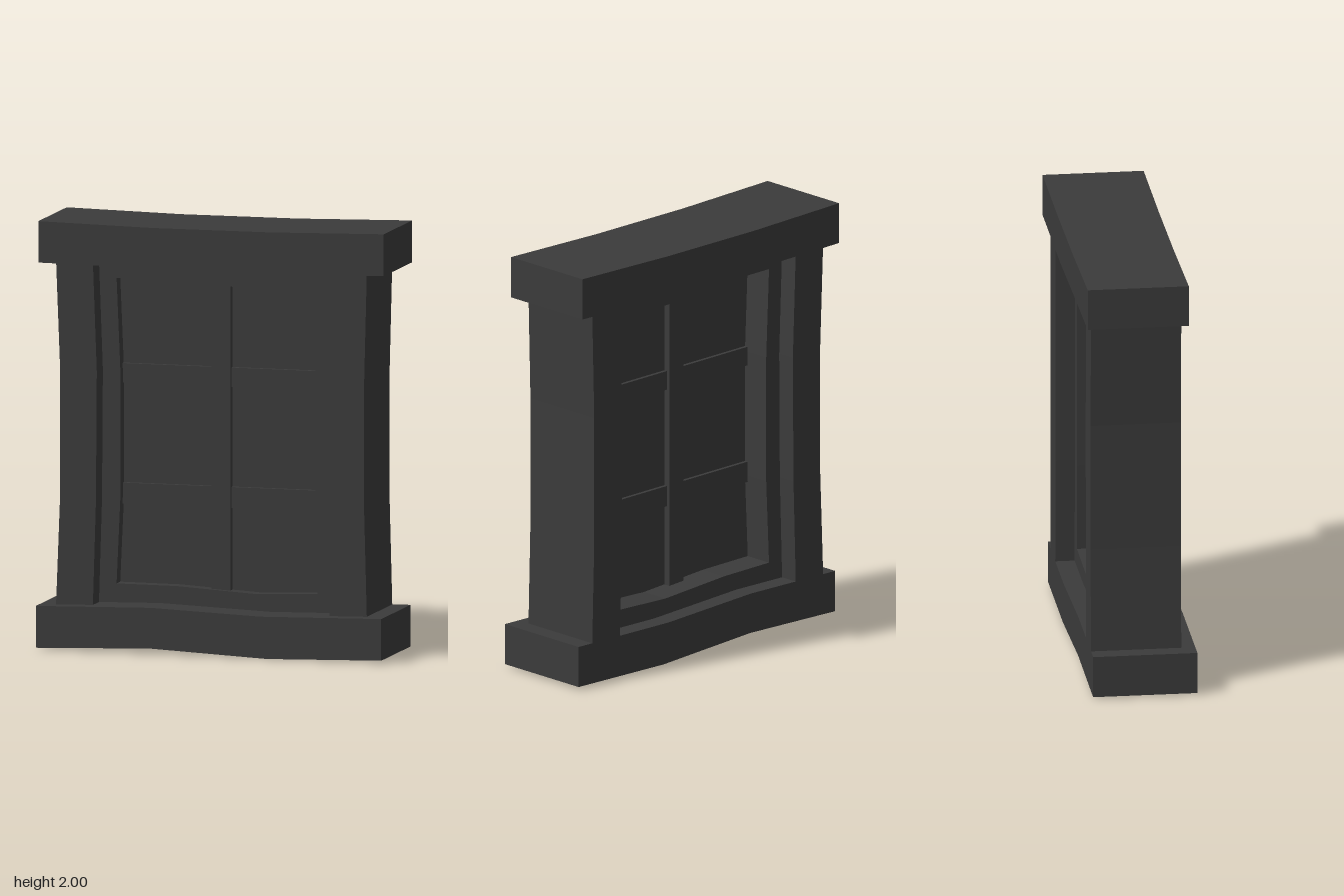
import * as THREE from 'three';

const material = new THREE.MeshStandardMaterial({ color: 0x3b3b3b, flatShading: true });

const path = (points) => points.map(([x, y]) => new THREE.Vector2(x, y));

// Slab with a front outline, an optional hole, and back and front depths
function slab(name, outline, z0, z1, hole) {
  const shape = new THREE.Shape(path(outline));
  if (hole) shape.holes.push(new THREE.Path(path(hole)));
  const geometry = new THREE.ExtrudeGeometry(shape, { depth: z1 - z0, bevelEnabled: false });
  geometry.translate(0, 0, z0);
  const mesh = new THREE.Mesh(geometry, material);
  mesh.name = name;
  return mesh;
}

const rect = (x0, x1, y0, y1) => [[x0, y0], [x1, y0], [x1, y1], [x0, y1]];

export function createModel() {
  const group = new THREE.Group();
  group.name = 'window';

  // Wavy sill and lintel
  group.add(slab('sill', [
    [-0.83, 0.012], [-0.28, 0.03], [0.28, 0.004], [0.83, 0.018],
    [0.83, 0.212], [0.25, 0.2], [-0.28, 0.22], [-0.83, 0.207],
  ], -0.23, 0.255));
  group.add(slab('lintel', [
    [-0.83, 1.802], [-0.28, 1.797], [0.18, 1.79], [0.83, 1.805],
    [0.83, 2], [0.28, 1.987], [-0.28, 1.985], [-0.83, 1.995],
  ], -0.255, 0.215));

  // Bowed jambs: each row is height, outer x, inner x
  const jamb = (name, side, rows) => group.add(slab(name, [
    ...rows.map(([y, outer]) => [side * outer, y]),
    ...rows.map(([y, , inner]) => [side * inner, y]).reverse(),
  ], -0.23, 0.19));
  jamb('rightJamb', -1, [[0.2, 0.752, 0.575], [0.7, 0.733, 0.56], [1.3, 0.732, 0.556], [1.82, 0.752, 0.575]]);
  jamb('leftJamb', 1, [[0.2, 0.742, 0.562], [0.7, 0.729, 0.55], [1.3, 0.729, 0.55], [1.82, 0.742, 0.562]]);

  // Inner frame with a wavy opening
  group.add(slab('innerFrame', rect(-0.62, 0.62, 0.15, 1.85), -0.14, 0.09, [
    [-0.49, 0.303], [-0.2, 0.302], [0.18, 0.28], [0.476, 0.292],
    [0.466, 0.7], [0.466, 1.3], [0.476, 1.715],
    [0.18, 1.7], [-0.2, 1.726], [-0.49, 1.726], [-0.472, 1.3], [-0.472, 0.7],
  ]));

  // Pane and glazing bars, visible from both faces
  group.add(slab('pane', rect(-0.52, 0.52, 0.25, 1.77), 0, 0.03));
  group.add(slab('verticalBar', rect(-0.04, 0.05, 0.25, 1.76), -0.034, 0.067));
  for (const [y0, y1] of [[0.67, 0.768], [1.235, 1.325]]) {
    group.add(slab('horizontalBar', rect(-0.5, 0.5, y0, y1), -0.017, 0.05));
  }
  return group;
}
